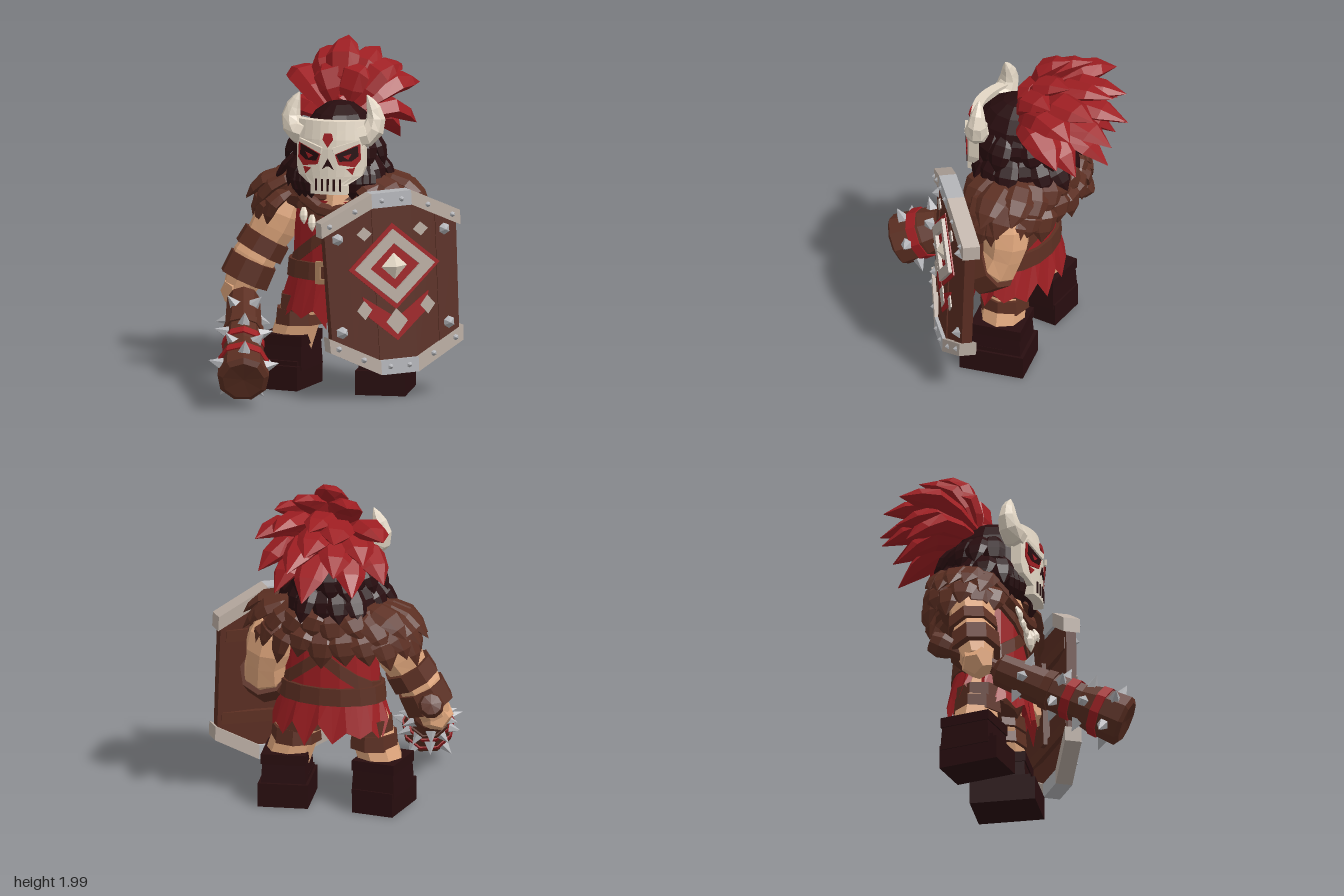
import * as THREE from 'three';

const mat = (name, color) => new THREE.MeshStandardMaterial({ name, color, flatShading: true, side: THREE.DoubleSide });
const skin = mat('skin', 0xdfa67c), leather = mat('leather', 0x5c2f22), wood = mat('wood', 0x5a2d22),
  dark = mat('dark hair and boots', 0x280d0f), red = mat('red', 0x9e1e22), bone = mat('bone', 0xe3d7c5),
  metal = mat('metal', 0xb4b5b9), rimGrey = mat('pale rim', 0xb9aca2), brass = mat('brass', 0xa87f5c);
const V = (a) => new THREE.Vector3(...a);

function add(parent, name, geo, material, pos = [0, 0, 0], rot = [0, 0, 0]) {
  const m = new THREE.Mesh(geo, material);
  m.name = name;
  m.position.set(...pos);
  m.rotation.set(...rot);
  parent.add(m);
  return m;
}
function group(parent, name, pos = [0, 0, 0], rot = [0, 0, 0]) {
  const g = new THREE.Group();
  g.name = name;
  g.position.set(...pos);
  g.rotation.set(...rot, 'ZYX');
  parent.add(g);
  return g;
}
const box = (x, y, z) => new THREE.BoxGeometry(x, y, z);

// Tapered body swept along a curve; flat squashes it along the out direction
function sweep(pts, radii, sides = 8, out = [0, 0, 1], flat = 1) {
  const curve = new THREE.CatmullRomCurve3(pts.map(V)), pos = [], idx = [], n = radii.length;
  for (let i = 0; i < n; i++) {
    const p = curve.getPoint(i / (n - 1)), t = curve.getTangent(i / (n - 1));
    const b = t.clone().cross(V(out)).normalize(), c = t.clone().cross(b);
    for (let j = 0; j < sides; j++) {
      const a = j / sides * Math.PI * 2;
      const q = p.clone().addScaledVector(b, Math.cos(a) * radii[i]).addScaledVector(c, Math.sin(a) * radii[i] * flat);
      pos.push(q.x, q.y, q.z);
      const k = i * sides + j, l = i * sides + (j + 1) % sides;
      if (i < n - 1) idx.push(k, l, k + sides, l, l + sides, k + sides);
    }
  }
  const e = (n - 1) * sides;
  for (let j = 1; j < sides - 1; j++) idx.push(0, j + 1, j, e, e + j, e + j + 1);
  const g = new THREE.BufferGeometry();
  g.setAttribute('position', new THREE.Float32BufferAttribute(pos, 3));
  g.setIndex(idx);
  g.computeVertexNormals();
  return g;
}
// Pointed leaf-shaped lock from root to tip, arched by bow along out
function blade(root, tip, w, out, bow = 0.04, flat = 0.4) {
  const mid = V(root).lerp(V(tip), 0.5).addScaledVector(V(out).normalize(), bow).toArray();
  return sweep([root, mid, tip], [w * 0.5, w * 0.9, w, w * 0.74, 0.003], 6, out, flat);
}
// Thin plate from outline points
function plate(pts, depth = 0.008, hole) {
  const s = new THREE.Shape(pts.map((p) => new THREE.Vector2(...p)));
  if (hole) s.holes.push(new THREE.Path(hole.map((p) => new THREE.Vector2(...p))));
  return new THREE.ExtrudeGeometry(s, { depth, bevelEnabled: false });
}
const diamond = (w, h, x = 0, y = 0) => [[x, y - h], [x + w, y], [x, y + h], [x - w, y]];
// Oval band around the torso, sheared by slope
function band(r1, r2, h, slope = 0, depth = 0.68) {
  const g = new THREE.CylinderGeometry(r1, r2, h, 16).scale(1, 1, depth), p = g.attributes.position;
  for (let i = 0; i < p.count; i++) p.setY(i, p.getY(i) + slope * p.getX(i));
  g.computeVertexNormals();
  return g;
}

function buildBody(root) {
  const body = group(root, 'body', [-0.03, 0, -0.17]);
  add(body, 'tunic', band(0.27, 0.295, 0.54), red, [0, 0.85, 0]);
  // Skirt with a ragged hem, longer in front
  const sk = new THREE.CylinderGeometry(0.29, 0.355, 0.22, 26, 1, true).scale(1, 1, 0.68), p = sk.attributes.position;
  for (let i = 0; i < p.count; i++)
    if (p.getY(i) < 0) p.setY(i, (i % 2 ? -0.18 : -0.09) - 0.03 * Math.sin(i * 2.3) - Math.max(0, p.getZ(i)) * 0.15);
  sk.computeVertexNormals();
  add(body, 'skirt', sk, red, [0, 0.62, 0]);
  add(body, 'hips', band(0.27, 0.2, 0.12), leather, [0, 0.57, 0]);
  add(body, 'belt', band(0.315, 0.325, 0.1), leather, [0, 0.71, 0]);
  for (const s of [0.75, -0.75]) add(body, 'chestStrap', band(0.292, 0.302, 0.08, s), leather, [0, 0.95, 0]);
  const sq = (w, h) => [[-w, -h], [w, -h], [w, h], [-w, h]];
  add(body, 'buckle', plate(sq(0.07, 0.065), 0.025, sq(0.043, 0.036)), brass, [0, 0.71, 0.212]);
  add(body, 'neck', new THREE.CylinderGeometry(0.13, 0.19, 0.2, 10), skin, [0.02, 1.16, 0.02]);
  add(body, 'collar', sweep([[-0.24, 1.2, 0.1], [-0.1, 1.09, 0.18], [0.02, 1.06, 0.19], [0.14, 1.09, 0.18], [0.25, 1.2, 0.1]],
    [0.045, 0.045, 0.04, 0.04, 0.04, 0.045, 0.045], 6), leather);
  // Necklace of teeth
  [[-0.15, 1.08, 0.09], [-0.1, 1.04, 0.09], [-0.055, 1.01, 0.08], [0, 1, 0.14], [0.06, 1.02, 0.08], [0.11, 1.05, 0.08]].forEach(([x, y, l]) =>
    add(body, 'necklaceTooth', blade([x, y, 0.21], [x + 0.012, y - l, 0.235], l * 0.28, [0, 0, 1], 0.006, 0.7), bone));
  // Fur mantle: overlapping pointed tufts over a rounded base
  const fur = group(root, 'furMantle', [-0.065, 0, -0.21]);
  add(fur, 'mantleBase', new THREE.SphereGeometry(1, 14, 8).scale(0.43, 0.13, 0.23), leather, [0, 1.13, -0.01]);
  [[0.24, 0.16, 1.26, 0.56, 0.27, 1.07], [0.34, 0.2, 1.15, 0.51, 0.28, 0.94]].forEach(([rx, rz, y, tx, tz, ty], r) => {
    for (let i = 0; i < 17; i++) {
      const a = 0.7 + (i + r * 0.5) / 17 * (Math.PI * 2 - 1.35), s = Math.sin(a), c = Math.cos(a);
      const ey = ty + 0.035 * Math.sin(i * 2.7 + r);
      add(fur, 'furTuft', blade([rx * s, y, rz * c], [tx * s, ey, tz * c], 0.09, [s, 0.8, c], 0.05), leather);
    }
  });
}

function buildLimbs(root) {
  // Arms with leather bands
  const arms = [
    { n: 'right', pts: [[-0.36, 1.1, -0.16], [-0.43, 0.93, -0.13], [-0.53, 0.75, -0.08], [-0.61, 0.56, -0.03]],
      bands: [[[-0.465, 0.87, -0.12], [-0.51, 0.78, -0.095]], [[-0.53, 0.74, -0.075], [-0.58, 0.62, -0.05]]] },
    { n: 'left', pts: [[0.28, 1.1, -0.26], [0.32, 0.93, -0.28], [0.35, 0.78, -0.24], [0.35, 0.67, -0.08]],
      bands: [[[0.355, 0.78, -0.25], [0.36, 0.7, -0.13]]] }];
  for (const a of arms) {
    const g = group(root, a.n + 'Arm');
    add(g, 'arm', sweep(a.pts, [0.12, 0.14, 0.135, 0.12, 0.13, 0.12, 0.09], 8), skin);
    for (const b of a.bands) add(g, 'armBand', sweep(b, [0.146, 0.15], 8), leather);
    add(g, 'hand', new THREE.DodecahedronGeometry(0.1), skin, a.pts[3]);
  }
  // Legs and boots
  for (const [n, x, z, yaw, w, l] of [['right', -0.335, -0.14, -0.05, 0.25, 0.36], ['left', 0.235, -0.185, 0.2, 0.29, 0.38]]) {
    const g = group(root, n + 'Leg', [x, 0, z], [0, yaw, 0]), hip = -Math.sign(x) * 0.12;
    add(g, 'sole', box(w, 0.14, l), dark, [0, 0.08, 0]);
    add(g, 'toeCap', box(w * 0.9, 0.05, l * 0.6), dark, [0, 0.15, l * 0.12]);
    add(g, 'bootShaft', new THREE.CylinderGeometry(0.18, 0.195, 0.19, 4, 1).rotateY(Math.PI / 4).scale(0.95, 1, 1.1), dark, [0, 0.215, -0.02]);
    add(g, 'bootCuff', new THREE.CylinderGeometry(0.19, 0.19, 0.06, 4, 1).rotateY(Math.PI / 4).scale(0.97, 1, 1.12), dark, [0, 0.29, -0.02]);
    add(g, 'leg', sweep([[hip, 0.62, -0.02], [0, 0.26, -0.02]], [0.12, 0.13, 0.13], 8), skin);
    for (const y of [0.42, 0.505]) add(g, 'legWrap', new THREE.CylinderGeometry(0.138, 0.147, 0.09, 8), leather, [hip * (y - 0.26) / 0.36, y, -0.02]);
  }
}

function buildHead(root) {
  const head = group(root, 'head', [-0.03, 1.4, -0.12], [0, 0.12, 0]);
  const bend = (x) => 0.245 - 1.7 * x * x;
  add(head, 'face', new THREE.SphereGeometry(0.19, 10, 8), skin, [0, -0.04, 0]);
  add(head, 'hairCap', new THREE.SphereGeometry(1, 12, 9).scale(0.225, 0.27, 0.27), dark, [0, 0.01, -0.05]);
  // Hanging locks at the back and sides
  [[0.19, 0.12, 0.26, -0.08], [0.2, 0, 0.31, -0.21]].forEach(([r0, y0, r1, y1], r) => {
    for (let i = 0; i < 12; i++) {
      const a = 1.15 + (i + r * 0.5) / 12 * (Math.PI * 2 - 2.1), s = Math.sin(a), c = Math.cos(a), k = r1 + 0.045 * Math.sin(i * 2.1);
      add(head, 'hairLock', blade([r0 * s - 0.01, y0, (r0 + 0.02) * c - 0.05], [k * s - 0.03, y1, (k + 0.04) * c - 0.04], 0.07, [s, 0.2, c], 0.02), dark);
    }
  });
  for (const s of [-1, 1]) for (let i = 0; i < 3; i++)
    add(head, 'beardLock', blade([s * (0.2 - i * 0.035), -0.07, 0.1 + i * 0.02], [s * (0.2 - i * 0.04), -0.26, 0.11 + i * 0.02], 0.055, [0, 0, 1], 0.02), dark);

  // Skull mask bent around the face, stepping in at the jaw
  const g = new THREE.BoxGeometry(1, 0.42, 0.06, 8, 8, 1), p = g.attributes.position;
  for (let i = 0; i < p.count; i++) {
    const y = p.getY(i), x = p.getX(i) * (y > 0.12 ? 0.385 : y > -0.08 ? 0.4 : y > -0.12 ? 0.37 : 0.215);
    p.setXYZ(i, x, y - 0.01, p.getZ(i) - 0.03 + bend(x) - Math.max(0, y - 0.08) * 0.2);
  }
  g.computeVertexNormals();
  add(head, 'mask', g, bone);
  for (const s of [-1, 1]) {
    const side = group(head, 'eye', [s * 0.103, 0.005, bend(0.103) - 0.002], [0, s * 0.36, 0]);
    const m = (q) => q.map(([x, y]) => [x * s, y]);
    add(side, 'eyePaint', plate(m([[-0.065, 0.01], [0.08, 0.07], [0.085, -0.02], [0.05, -0.065], [-0.045, -0.05]]), 0.008), red);
    add(side, 'eyeSocket', plate(m([[-0.06, 0.01], [0.065, 0.06], [0.07, 0], [0.03, -0.03], [-0.04, -0.03]]), 0.006), dark, [0, 0, 0.005]);
    add(side, 'pupil', plate(m([[-0.02, 0.0], [0.03, 0.015], [0.01, -0.02]]), 0.004), red, [0, 0, 0.009]);
    add(side, 'brow', plate(m([[-0.075, 0.015], [0.078, 0.072], [0.07, 0.092], [-0.08, 0.05]]), 0.016), bone);
    add(side, 'cheekPaint', plate(m([[0, -0.075], [0.05, -0.07], [0.035, -0.11]]), 0.008), red);
    // Horns curl out and up
    const h = [[s * 0.16, 0.11, 0.14], [s * 0.22, 0.13, 0.125], [s * 0.25, 0.21, 0.11], [s * 0.225, 0.29, 0.11], [s * 0.2, 0.345, 0.115]];
    add(head, 'horn', sweep(h, [0.07, 0.072, 0.066, 0.056, 0.043, 0.026, 0.004], 8), bone);
  }
  add(head, 'nose', plate([[-0.035, -0.075], [-0.008, -0.055], [0.008, -0.055], [0.035, -0.075], [0, -0.01]], 0.008), dark, [0, 0, 0.243]);
  add(head, 'foreheadMark', plate([[-0.03, 0.1], [0, 0.055], [0.03, 0.1], [0.022, 0.135], [-0.022, 0.135]], 0.009), red, [0, 0, 0.258], [-0.17, 0, 0]);
  for (let i = -2; i <= 2; i++) add(head, 'toothGap', box(0.011, 0.07, 0.008), dark, [i * 0.035, -0.165, bend(i * 0.035) + 0.002]);
}

function buildPlume(root) {
  const plume = group(root, 'plume');
  const tips = [[-0.1, 2, -0.47], [0.06, 1.93, -0.55], [-0.25, 1.92, -0.53], [0.2, 1.85, -0.5], [-0.1, 1.83, -0.75],
    [0.12, 1.8, -0.74], [-0.25, 1.77, -0.75], [0.26, 1.72, -0.66], [-0.48, 1.75, -0.56], [-0.1, 1.7, -0.83],
    [0.02, 1.58, -0.8], [-0.25, 1.57, -0.76], [-0.47, 1.48, -0.52], [0.27, 1.5, -0.58], [-0.05, 1.39, -0.74],
    [-0.32, 1.42, -0.64], [0.15, 1.4, -0.64], [-0.38, 1.62, -0.62], [-0.18, 1.84, -0.36], [0.04, 1.84, -0.36]];
  for (const t of tips) {
    const r = [-0.05 + (t[0] + 0.08) * 0.2, 1.61 + (t[1] - 1.7) * 0.18, -0.24];
    add(plume, 'plumeLock', blade(r, t, t[1] > 1.8 ? 0.1 : 0.115, [(t[0] + 0.08) * 0.8, 1, t[1] > 1.8 ? 0.5 : -0.1], 0.085, 0.55), red);
  }
  add(plume, 'plumeRoot', new THREE.IcosahedronGeometry(0.11), red, [-0.05, 1.63, -0.28]);
}

function buildClub(root) {
  const a = V([-0.66, 0.69, -0.25]), b = V([-0.275, 0.19, 0.755]);
  const club = group(root, 'club', a.toArray());
  club.quaternion.setFromUnitVectors(V([0, 1, 0]), b.sub(a).normalize());
  const prof = [[0, -0.05], [0.06, -0.04], [0.075, 0.02], [0.06, 0.08], [0.045, 0.1], [0.045, 0.36], [0.095, 0.39], [0.105, 0.62],
    [0.115, 0.9], [0.14, 1], [0.15, 1.17], [0.12, 1.19], [0, 1.18]];
  add(club, 'clubShaft', new THREE.LatheGeometry(prof.map((q) => new THREE.Vector2(...q)), 9), leather);
  for (const [y, r, m] of [[0.7, 0.115, leather], [0.84, 0.121, red], [1.03, 0.148, red]])
    add(club, 'clubWrap', new THREE.CylinderGeometry(r + 0.004, r, 0.055, 9), m, [0, y, 0], [0.06, 0, 0.08]);
  [[0.54, 0.1], [0.76, 0.11], [0.93, 0.122], [1.09, 0.146]].forEach(([y, r], i) => {
    for (let j = 0; j < 5; j++) {
      const t = (j + i * 0.5) / 5 * Math.PI * 2, n = [Math.cos(t), 0, Math.sin(t)];
      const s = add(club, 'clubSpike', new THREE.ConeGeometry(0.04, 0.085, 5), metal, [n[0] * (r + 0.025), y, n[2] * (r + 0.025)]);
      s.quaternion.setFromUnitVectors(V([0, 1, 0]), V(n));
    }
  });
}

function buildShield(root) {
  const sh = group(root, 'shield', [0.375, 0.685, 0.06], [0, 0.7, 0.055]);
  const out = (x) => Math.max(0, Math.abs(x) - 0.12), top = (x) => 0.52 - 0.5 * out(x), bot = (x) => -0.51 + 0.5 * out(x);
  // Box fitted between two edge rules, bent back at the sides and narrowed below
  const slab = (x0, x1, lo, hi, z0, z1) => {
    const g = box(1, 1, 1), p = g.attributes.position;
    for (let i = 0; i < p.count; i++) {
      const x = p.getX(i) < 0 ? x0 : x1, y = p.getY(i) < 0 ? lo(x) : hi(x);
      p.setXYZ(i, x * (1 + 0.12 * Math.min(0, y)), y, (p.getZ(i) < 0 ? z0 : z1) - 0.12 * out(x));
    }
    g.computeVertexNormals();
    return g;
  };
  const cuts = [-0.4, -0.27, -0.12, 0.12, 0.27, 0.4];
  for (let i = 0; i < 5; i++) add(sh, 'plank', slab(cuts[i], cuts[i + 1], bot, top, -0.03, i % 2 ? 0.022 : 0.03), wood);
  const edge = [-0.42, -0.12, 0.12, 0.42];
  for (let i = 0; i < 3; i++) {
    const m = i === 1 ? metal : rimGrey;
    add(sh, 'topRim', slab(edge[i], edge[i + 1], (x) => top(x) - 0.075, (x) => top(x) + 0.01, -0.05, 0.05), m);
    add(sh, 'bottomRim', slab(edge[i], edge[i + 1], (x) => bot(x) - 0.01, (x) => bot(x) + 0.075, -0.05, 0.05), m);
  }
  const stud = (x, y, z, r) => add(sh, 'stud', new THREE.ConeGeometry(r, r * 1.1, 6).rotateX(Math.PI / 2), metal, [x, y, z - 0.12 * out(x)]);
  for (const s of [-1, 1]) {
    for (const y of [0.28, -0.26]) stud(s * 0.32, y, 0.045, 0.042);
    for (const x of [0.06, 0.22, 0.37]) { stud(s * x, top(x) - 0.035, 0.055, 0.024); stud(s * x * 0.95, bot(x) + 0.035, 0.055, 0.024); }
    add(sh, 'paintPatch', plate(diamond(0.045, 0.055, s * 0.19, -0.14)), rimGrey, [0, 0, 0.027]);
    add(sh, 'paintPatch', plate(diamond(0.045, 0.04, s * 0.17, 0.3)), rimGrey, [0, 0, 0.027]);
  }
  // Painted emblem
  add(sh, 'emblemField', plate(diamond(0.275, 0.25, 0, 0.1)), red, [0, 0, 0.026]);
  add(sh, 'emblemRing', plate(diamond(0.24, 0.215, 0, 0.1), 0.025, diamond(0.15, 0.135, 0, 0.1)), rimGrey, [0, 0, 0.03]);
  add(sh, 'emblemBoss', new THREE.ConeGeometry(0.08, 0.045, 4).rotateX(Math.PI / 2), bone, [0, 0.1, 0.055]);
  add(sh, 'emblemChevron', plate([[-0.2, -0.06], [-0.17, -0.18], [0, -0.33], [0.17, -0.18], [0.2, -0.06], [0, -0.2]]), red, [0, 0, 0.0255]);
  add(sh, 'emblemDrop', plate(diamond(0.065, 0.075, 0, -0.22)), rimGrey, [0, 0, 0.03]);
  // Battens and grip behind
  for (const y of [0.25, -0.25]) add(sh, 'batten', box(0.72, 0.07, 0.03), leather, [0, y, -0.05]);
  add(sh, 'grip', box(0.06, 0.5, 0.04), leather, [0, 0, -0.07]);
}

export function createModel() {
  const root = new THREE.Group();
  root.name = 'masked warrior';
  for (const build of [buildBody, buildLimbs, buildHead, buildPlume, buildClub, buildShield]) build(root);
  return root;
}
